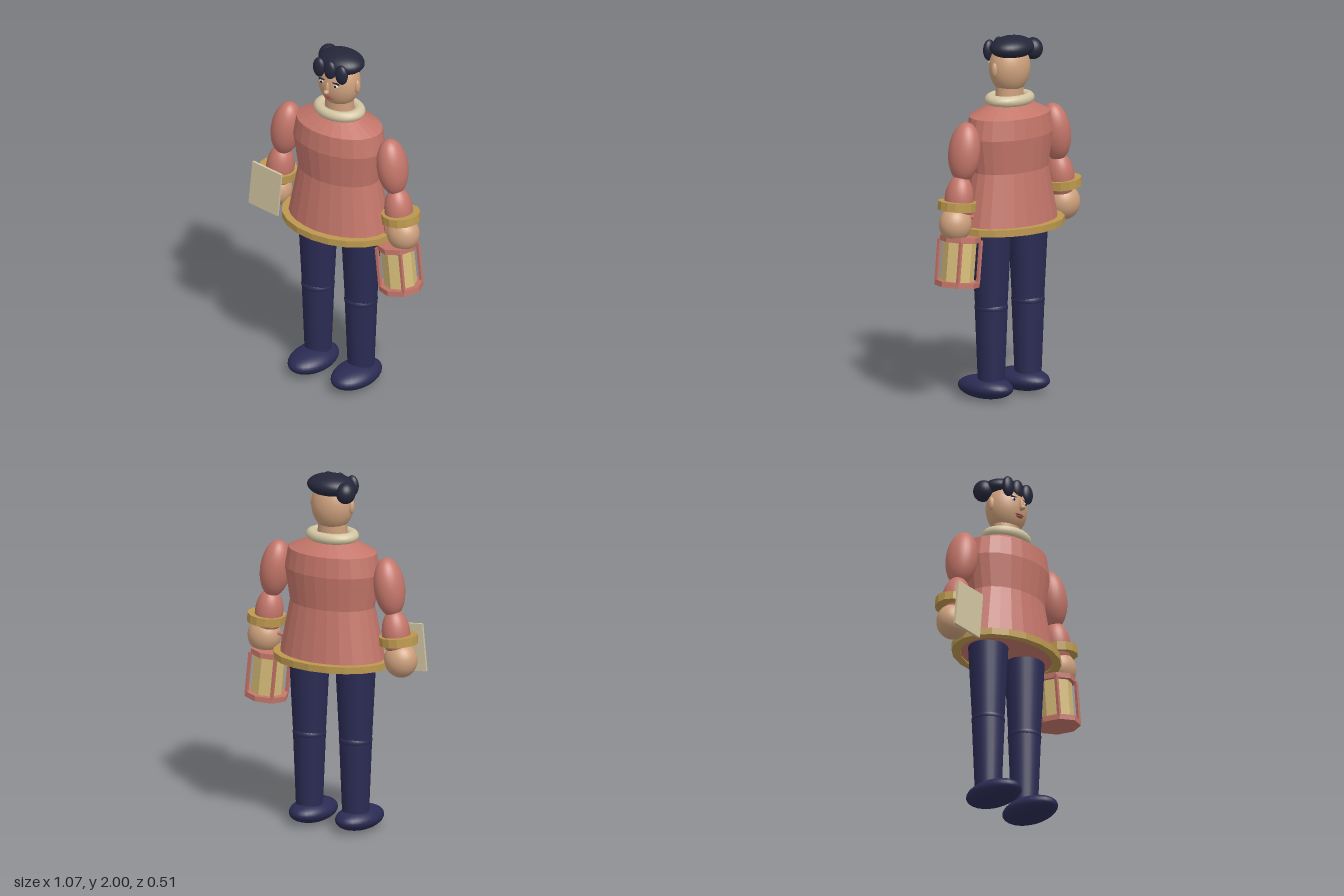
import * as THREE from 'three';

const mat = (name, color) => {
  const m = new THREE.MeshStandardMaterial({ color });
  m.name = name;
  return m;
};

export function createModel() {
  const M = {
    tunic: mat('tunic red', 0xc4766a), gold: mat('trim gold', 0xbd994f),
    navy: mat('trouser navy', 0x2b2b54), hair: mat('hair black', 0x25273a),
    skin: mat('skin', 0xcda07c), cream: mat('cream', 0xd3c5a2),
    glass: mat('lantern glass', 0xd8bd7a), white: mat('eye white', 0xf0ece4),
    lip: mat('lip red', 0x9c5048), dark: mat('iris dark', 0x1c1a20),
  };
  const model = new THREE.Group();
  model.name = 'figure';
  const body = new THREE.Group();
  body.name = 'body';
  body.position.x = -0.005;
  model.add(body);

  const add = (name, geo, m, pos = [0, 0, 0], rotZ = 0, parent = body) => {
    const mesh = new THREE.Mesh(geo, m);
    mesh.name = name;
    mesh.position.set(...pos);
    mesh.rotation.z = rotZ;
    parent.add(mesh);
    return mesh;
  };
  const flat = (geo) => {
    const g = geo.toNonIndexed();
    g.computeVertexNormals();
    return g;
  };
  const ball = (rx, ry, rz, w = 28, h = 20) => new THREE.SphereGeometry(1, w, h).scale(rx, ry, rz);
  const tube = (top, bottom, height, sides = 24) => new THREE.CylinderGeometry(top, bottom, height, sides);
  const lathe = (pts, sides, depth) =>
    flat(new THREE.LatheGeometry(pts.map(([r, y]) => new THREE.Vector2(r, y)), sides).scale(1, 1, depth));

  // Tunic and hem
  add('tunic', lathe([[0, 0.95], [0.315, 0.95], [0.308, 0.98], [0.25, 1.27], [0.281, 1.46],
    [0.261, 1.57], [0.13, 1.63], [0, 1.63]], 24, 0.685), M.tunic);
  add('tunicHem', lathe([[0.29, 0.942], [0.345, 0.942], [0.345, 0.98], [0.29, 0.98], [0.29, 0.942]], 20, 0.735), M.gold);

  // Collar and neck
  add('collar', new THREE.TorusGeometry(0.118, 0.035, 14, 32).rotateX(Math.PI / 2).scale(1, 0.86, 0.78), M.cream, [0, 1.652, 0]);
  add('neck', tube(0.083, 0.087, 0.12).scale(1, 1, 0.82), M.skin, [0, 1.665, 0]);

  // Head and face
  add('head', ball(0.12, 0.145, 0.107, 32, 24), M.skin, [0, 1.825, 0]);
  add('noseBridge', ball(0.01, 0.036, 0.014), M.skin, [0, 1.822, 0.108]);
  add('noseTip', ball(0.015, 0.014, 0.017), M.skin, [0, 1.803, 0.119]);
  add('upperLip', ball(0.03, 0.006, 0.009), M.lip, [0, 1.767, 0.097]);
  add('lowerLip', ball(0.024, 0.007, 0.009), M.lip, [0, 1.757, 0.095]);

  // Hair cap, side bun and fringe
  add('hairCap', ball(0.136, 0.062, 0.108), M.hair, [0, 1.938, -0.018]);
  add('hairBun', ball(0.052, 0.06, 0.058), M.hair, [-0.12, 1.918, -0.06]);
  for (const x of [-0.075, 0, 0.075])
    add('fringeLock', ball(0.039, 0.058, 0.027), M.hair, [x, 1.922 - Math.abs(x) * 0.05, 0.082]);

  for (const s of [-1, 1]) {
    // Ears, eyes and brows
    add('ear', ball(0.016, 0.04, 0.018, 16, 12), M.skin, [s * 0.121, 1.825, 0]);
    add('eye', ball(0.018, 0.009, 0.006, 16, 10), M.white, [s * 0.047, 1.844, 0.097]);
    add('iris', ball(0.008, 0.008, 0.004, 12, 8), M.dark, [s * 0.047, 1.844, 0.101]);
    add('brow', new THREE.BoxGeometry(0.042, 0.006, 0.008), M.hair, [s * 0.047, 1.861, 0.096], -s * 0.08);

    // Legs and shoes
    add('thigh', tube(0.113, 0.09, 0.45), M.navy, [s * 0.146, 0.735, 0]).scale.z = 0.95;
    add('knee', ball(0.092, 0.05, 0.092), M.navy, [s * 0.146, 0.515, 0]);
    add('shin', tube(0.09, 0.073, 0.43), M.navy, [s * 0.146, 0.305, 0]);
    add('shoe', ball(0.114, 0.064, 0.177), M.navy, [s * 0.146, 0.066, 0.042]);

    // Arms, cuffs and hands
    add('upperArm', ball(0.083, 0.164, 0.091), M.tunic, [s * 0.36, 1.408, 0], s * 0.15);
    add('forearm', ball(0.077, 0.135, 0.08), M.tunic, [s * 0.402, 1.153, 0], s * 0.11);
    add('cuff', flat(tube(0.106, 0.106, 0.048, 14)), M.gold, [s * 0.418, 1.12, 0], s * 0.09);
    add('hand', ball(0.093, 0.098, 0.086), M.skin, [s * 0.432, s < 0 ? 1.008 : 1.02, 0], s * 0.1);
  }

  // Board held in the right hand
  add('board', new THREE.BoxGeometry(0.197, 0.266, 0.014), M.cream, [-0.427, 1.054, 0.107], -0.1, model);

  // Lantern hanging from the left hand
  const lantern = new THREE.Group();
  lantern.name = 'lantern';
  lantern.position.set(0.4, 0.81, 0);
  lantern.rotation.z = 0.105;
  model.add(lantern);
  add('lanternGlass', flat(tube(0.09, 0.09, 0.24, 8)), M.glass, [0, 0, 0], 0, lantern);
  add('lanternTop', flat(tube(0.112, 0.112, 0.03, 8)), M.tunic, [0, 0.125, 0], 0, lantern);
  add('lanternBase', flat(tube(0.122, 0.122, 0.03, 8)), M.tunic, [0, -0.122, 0], 0, lantern);
  for (const x of [-1, 1]) for (const z of [-1, 1])
    add('lanternPost', new THREE.BoxGeometry(0.016, 0.24, 0.016), M.tunic, [x * 0.08, 0, z * 0.08], 0, lantern);
  // Handle: two uprights joined by a grip through the hand
  for (const x of [-1, 1])
    add('handleUpright', tube(0.009, 0.009, 0.11, 8), M.tunic, [x * 0.07, 0.185, 0], 0, lantern);
  add('handleGrip', tube(0.011, 0.011, 0.17, 8).rotateZ(Math.PI / 2), M.tunic, [-0.035, 0.237, 0], 0, lantern);

  return model;
}
